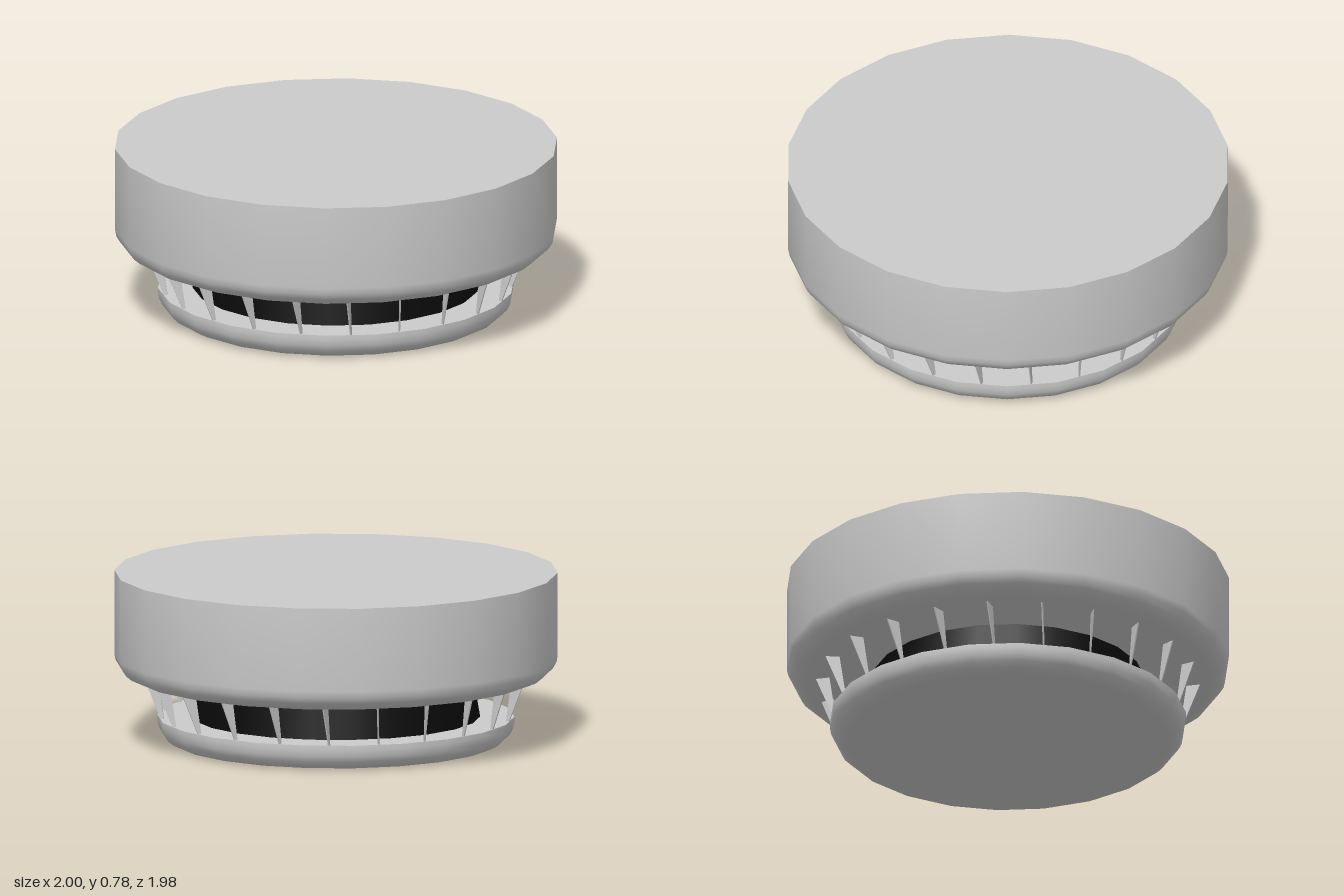
import * as THREE from 'three';
import { toCreasedNormals } from 'three/addons/utils/BufferGeometryUtils.js';

const SIDES = 22;
const grey = new THREE.MeshStandardMaterial({ color: 0xcccccc });
const black = new THREE.MeshStandardMaterial({ color: 0x0a0a0a });

// Flat disc with a rounded lower edge, sharp upper rim
function roundedDisc(name, radius, bottom, top, bevelX, bevelY) {
  const points = [new THREE.Vector2(0, bottom)];
  const steps = 5;
  for (let i = 0; i <= steps; i++) {
    const a = (i / steps) * Math.PI / 2;
    points.push(new THREE.Vector2(
      radius - bevelX + bevelX * Math.sin(a),
      bottom + bevelY - bevelY * Math.cos(a)));
  }
  points.push(new THREE.Vector2(radius, top), new THREE.Vector2(0, top));
  const lathe = new THREE.LatheGeometry(points, SIDES, Math.PI / 2);
  const mesh = new THREE.Mesh(toCreasedNormals(lathe, 0.8), grey);
  mesh.name = name;
  return mesh;
}

export function createModel() {
  const model = new THREE.Group();
  model.name = 'smokeDetector';

  // Wide mounting body and the smaller cap hanging below it
  model.add(roundedDisc('body', 1, 0.3, 0.78, 0.12, 0.1));
  model.add(roundedDisc('lowerCap', 0.805, 0, 0.12, 0.1, 0.1));

  // Dark sensor chamber in the gap
  const chamber = new THREE.Mesh(
    new THREE.CylinderGeometry(0.62, 0.65, 0.18, SIDES, 1, false, Math.PI / 2), black);
  chamber.name = 'sensorChamber';
  chamber.position.y = 0.21;
  model.add(chamber);

  // Ring of thin, tapered, slightly swirled vanes
  const depth = 0.006;
  const outline = new THREE.Shape([
    new THREE.Vector2(0, 0.12), new THREE.Vector2(0.016, 0.12),
    new THREE.Vector2(0.09, 0.3), new THREE.Vector2(0.027, 0.3)]);
  const vaneGeometry = new THREE.ExtrudeGeometry(outline, { depth, bevelEnabled: false });
  vaneGeometry.translate(0, 0, -depth / 2);
  const vanes = new THREE.Group();
  vanes.name = 'vanes';
  const swirl = THREE.MathUtils.degToRad(18);
  for (let i = 0; i < SIDES; i++) {
    const angle = (i / SIDES) * Math.PI * 2;
    const vane = new THREE.Mesh(vaneGeometry, grey);
    vane.name = 'vane';
    vane.position.set(0.78 * Math.sin(angle), 0, 0.78 * Math.cos(angle));
    vane.rotation.y = angle - swirl - Math.PI / 2;
    vanes.add(vane);
  }
  model.add(vanes);
  return model;
}
